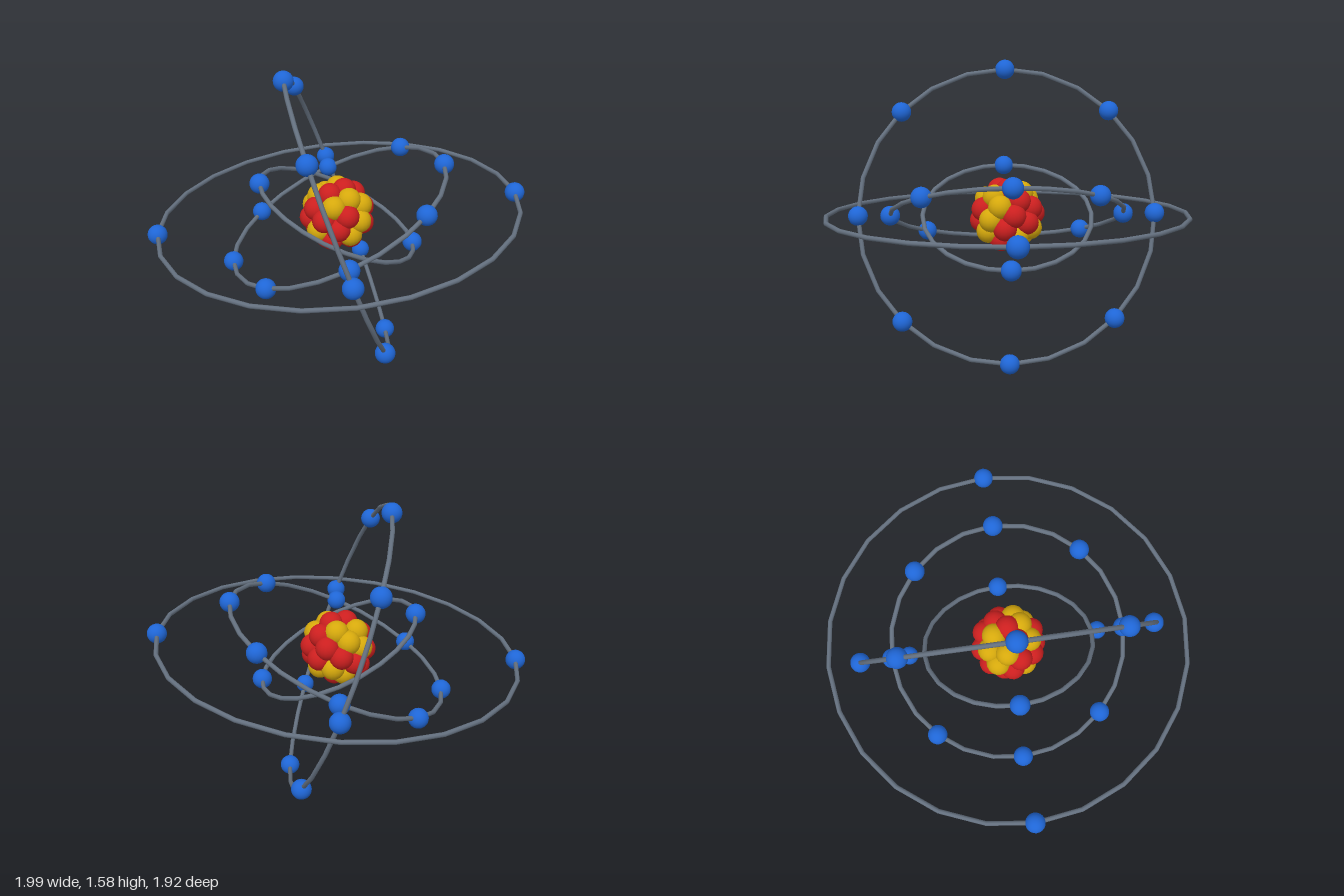
import * as THREE from 'three';

const paint = (name, color) => {
  const m = new THREE.MeshStandardMaterial({ color });
  m.name = name;
  return m;
};

export function createModel() {
  const model = new THREE.Group();
  model.name = 'atom';
  const red = paint('protonRed', 0xcc1f1f);
  const yellow = paint('neutronYellow', 0xd6a90c);
  const blue = paint('electronBlue', 0x1f66d6);
  const grey = paint('orbitGrey', 0x64707f);

  const add = (parent, name, geometry, material) => {
    const mesh = new THREE.Mesh(geometry, material);
    mesh.name = name;
    parent.add(mesh);
    return mesh;
  };

  const centre = new THREE.Group();
  centre.name = 'atomCentre';
  centre.position.y = 0.795;
  model.add(centre);

  // Orbits: radius, tilt in degrees, electron count
  const electronGeometry = new THREE.SphereGeometry(0.052, 20, 14);
  const orbits = [[0.446, -25, 2], [0.615, 25, 8], [0.783, 110, 8], [0.949, 5, 2]];
  orbits.forEach(([radius, tilt, count], i) => {
    const orbit = new THREE.Group();
    orbit.name = `orbit${i + 1}`;
    orbit.rotation.z = THREE.MathUtils.degToRad(tilt);
    centre.add(orbit);
    const ring = add(orbit, 'orbitRing', new THREE.TorusGeometry(radius, 0.012, 8, 24), grey);
    ring.rotation.x = Math.PI / 2;
    for (let k = 0; k < count; k++) {
      const a = (k / count) * Math.PI * 2;
      add(orbit, 'electron', electronGeometry, blue)
        .position.set(radius * Math.cos(a), 0, radius * Math.sin(a));
    }
  });

  // Directions around which the nucleus is yellow or red
  const yellowSpots = [
    [-0.1, 0.85, -0.5], [0.7, 0.65, 0.1], [0.9, 0, 0.5], [-0.3, 0.5, 0.8],
    [-0.95, 0.25, -0.25], [-0.85, -0.4, 0.35], [0.75, -0.65, -0.3], [0.5, -0.5, 0.7],
    [0.2, -0.3, -0.95], [-0.4, -0.75, -0.5], [-0.55, 0.35, -0.75],
  ];
  const redSpots = [
    [0, 0.98, 0.15], [0.3, 0.4, -0.85], [-0.7, 0.5, 0.4], [0.4, 0.3, 0.85],
    [0.2, -0.45, 0.87], [-0.4, -0.2, 0.9], [0.98, 0, -0.2], [0.7, 0.4, -0.6],
    [0.85, -0.5, 0.2], [-0.1, -0.95, 0.3], [0.2, -0.9, -0.4], [-0.9, -0.3, -0.3],
    [-0.3, 0, -0.95], [0.65, -0.2, -0.75],
  ];
  const nearest = (spots, p) => Math.max(
    ...spots.map((s) => new THREE.Vector3(...s).normalize().dot(p)));

  // Nucleus: nucleons spread evenly over a small sphere
  const nucleus = new THREE.Group();
  nucleus.name = 'nucleus';
  centre.add(nucleus);
  const nucleonGeometry = new THREE.SphereGeometry(0.063, 18, 12);
  const total = 32;
  for (let i = 0; i < total; i++) {
    const y = 1 - (2 * i + 1) / total;
    const r = Math.sqrt(1 - y * y);
    const a = i * Math.PI * (3 - Math.sqrt(5));
    const p = new THREE.Vector3(r * Math.cos(a), y, r * Math.sin(a));
    const isYellow = nearest(yellowSpots, p) > nearest(redSpots, p);
    add(nucleus, isYellow ? 'neutron' : 'proton', nucleonGeometry, isYellow ? yellow : red)
      .position.copy(p).multiplyScalar(0.138);
  }
  return model;
}
